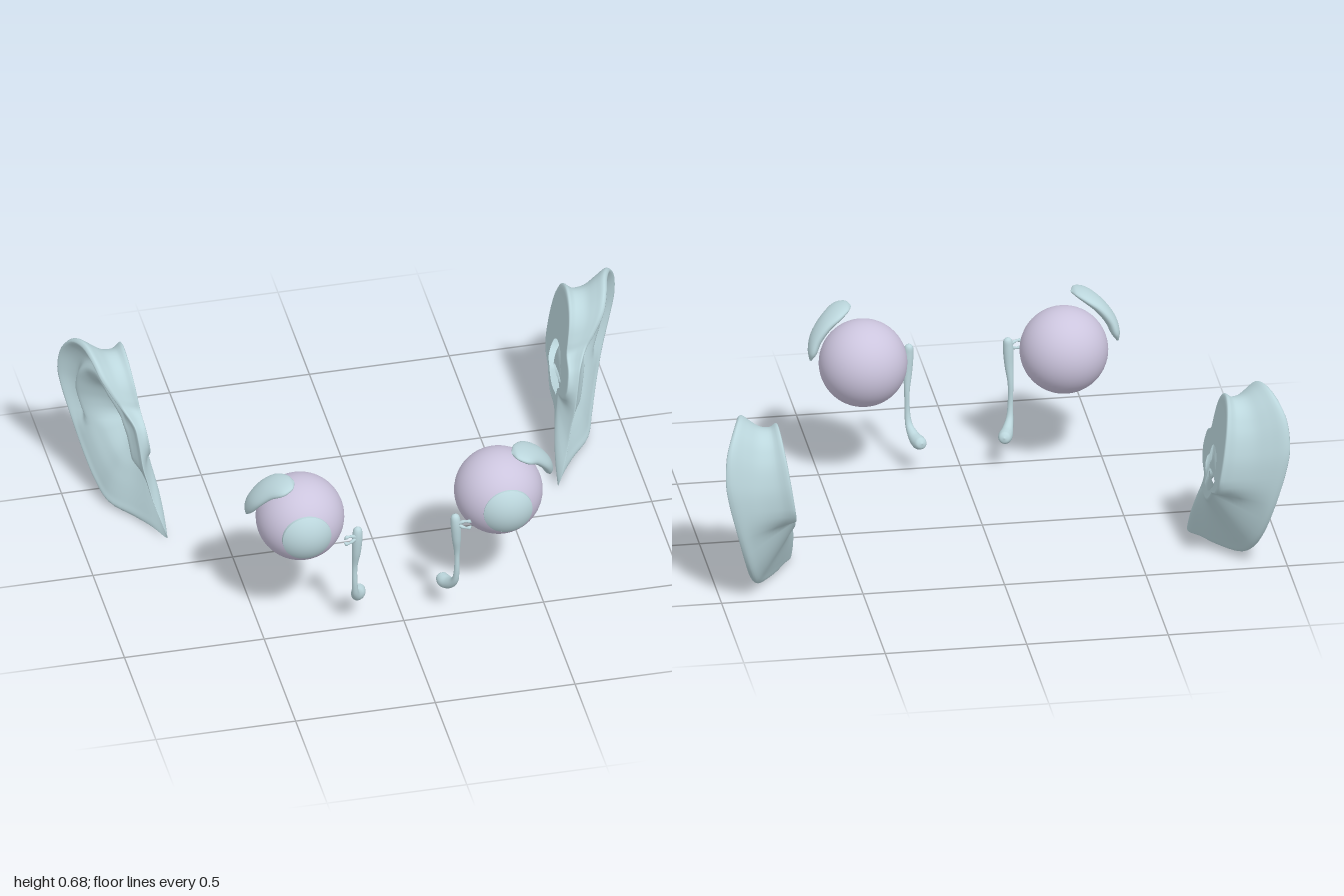
import * as THREE from 'three';

const V = (x, y, z) => new THREE.Vector3(x, y, z);
const { lerp, smoothstep } = THREE.MathUtils;

const tissue = new THREE.MeshStandardMaterial({ color: 0xbcd7dd, side: THREE.DoubleSide });
tissue.name = 'pale teal tissue';
const sclera = new THREE.MeshStandardMaterial({ color: 0xccc5de });
sclera.name = 'pale lilac';

// Smooth skin through a list of rings that all have the same number of points
function loft(rings, steps) {
  const n = rings[0].length, pos = [], idx = [];
  const spokes = rings[0].map((_, j) =>
    new THREE.CatmullRomCurve3(rings.map(r => r[j])).getPoints(steps));
  for (let i = 0; i <= steps; i++)
    for (let j = 0; j < n; j++) pos.push(...spokes[j][i].toArray());
  for (let i = 0; i < steps; i++)
    for (let j = 0; j < n; j++) {
      const a = i * n + j, b = i * n + (j + 1) % n;
      idx.push(a, b, a + n, b, b + n, a + n);
    }
  const g = new THREE.BufferGeometry();
  g.setAttribute('position', new THREE.Float32BufferAttribute(pos, 3));
  g.setIndex(idx);
  g.computeVertexNormals();
  return g;
}

// Round tube whose radius changes along the path; points are [x, y, z, radius]
function taperedTube(pts, sides, steps) {
  const curve = new THREE.CatmullRomCurve3(pts.map(p => V(p[0], p[1], p[2])));
  const rings = pts.map((p, i) => {
    const t = curve.getTangent(i / (pts.length - 1));
    const side = V(1, 0, 0).addScaledVector(t, -t.x).normalize();
    const up = V(0, 0, 0).crossVectors(t, side);
    return Array.from({ length: sides }, (_, j) => {
      const a = j / sides * Math.PI * 2;
      return V(p[0], p[1], p[2])
        .addScaledVector(side, Math.cos(a) * p[3])
        .addScaledVector(up, Math.sin(a) * p[3]);
    });
  });
  return loft(rings, steps);
}

// Outer ear: rings from the ear canal, over the rim, round the back and across the inner face
function earGeometry() {
  const rim = [ // x, y, z
    [.70, .008, -.155], [.71, .045, -.15], [.745, .15, -.185], [.76, .215, -.205],
    [.775, .275, -.21], [.79, .39, -.22], [.80, .445, -.235], [.83, .49, -.285],
    [.86, .54, -.295], [.90, .615, -.317], [.92, .66, -.36], [.94, .68, -.44],
    [.965, .66, -.51], [.99, .60, -.56], [.997, .50, -.587], [.985, .42, -.59],
    [.95, .275, -.57], [.915, .14, -.52], [.89, .065, -.463], [.86, .02, -.387],
    [.79, .012, -.30], [.74, .012, -.225]];
  const outline = new THREE.CatmullRomCurve3(rim.map(p => V(...p)), true).getPoints(88).slice(0, 88);
  const cy = .32, cz = -.395, canalX = .75;
  // scale from canal to rim, sunk depth in the upper part, sunk depth in the lobe, lift at the front
  const face = [[0, 1, 1, 0], [.18, .95, .85, 0], [.38, .72, .5, .025], [.52, .36, .34, .034],
    [.64, .22, .22, .032], [.76, .28, .13, .02], [.87, .17, .06, .008], [.96, 0, 0, 0]];
  // behind the rim: pull-in and travel towards the inner side, first above, then in the lobe
  const back = [[0, .08, 0, .08], [.08, .3, .12, .22], [.18, .55, .3, .42],
    [.19, .8, .5, .66], [.12, .98, .7, .92]];
  // scale of the inner face above and in the lobe
  const inner = [[.76, .24], [.62, .2], [.45, .16], [.3, .12]];

  const angle = p => Math.atan2(p.y - cy, p.z - cz);
  const innerPlane = y => .69 + .155 * y;
  const place = (p, s) => {
    const a = angle(p);
    const hy = cy + .017 * Math.sin(a), hz = cz + .055 * Math.cos(a);
    return V(p.x, lerp(hy, p.y, s), lerp(hz, p.z, s));
  };
  const spokes = outline.map(p => {
    const sin = Math.sin(angle(p)), cos = Math.cos(angle(p));
    return {
      p,
      upper: smoothstep(sin, -.5, .25),
      front: smoothstep(cos, .25, .85) * smoothstep(sin, -.8, -.2),
      crest: smoothstep(sin, .3, .8) * smoothstep(cos, -.2, .4),
      width: Math.min(1, (p.x - innerPlane(p.y)) / .2),
    };
  });

  const rings = face.map(([s, up, low, lift]) => spokes.map(({ p, upper, front }) => {
    const q = place(p, s);
    q.x = lerp(p.x, canalX, lerp(low, up, upper * (1 - .7 * front))) + lift * front;
    return q;
  }));
  back.forEach(([pullUp, up, pullLow, low]) =>
    rings.push(spokes.map(({ p, upper, crest, width }) => {
      const q = place(p, 1 - lerp(pullLow, pullUp * width + .12 * crest * up, upper));
      q.x = lerp(p.x, innerPlane(q.y), lerp(low, up, upper));
      return q;
    })));
  inner.forEach(([up, low]) => rings.push(spokes.map(({ p, upper }) => {
    const q = place(p, lerp(low, up, upper));
    q.x = innerPlane(q.y);
    return q;
  })));
  return loft(rings, 64);
}

// Tear gland: a flattened leaf wrapped over the upper outer side of the eye
function glandGeometry() {
  const sections = [ // angle, z, half width, radius, half thickness
    [80, .485, .006, .197, .003], [76, .485, .042, .2, .011], [65, .474, .066, .199, .019],
    [50, .453, .057, .197, .022], [32, .435, .045, .194, .021], [18, .418, .03, .19, .016],
    [9, .41, .005, .19, .004]];
  return loft(sections.map(([deg, z, w, r, h]) => {
    const a = deg * Math.PI / 180;
    return Array.from({ length: 24 }, (_, j) => {
      const b = j / 24 * Math.PI * 2, rr = r + h * Math.sin(b);
      return V(.355 + rr * Math.cos(a), .46 + rr * Math.sin(a), z + w * Math.cos(b));
    });
  }), 30);
}

function buildSide(name) {
  const side = new THREE.Group();
  side.name = name;
  const add = (part, geometry, material, x = 0, y = 0, z = 0) => {
    const m = new THREE.Mesh(geometry, material);
    m.name = part;
    m.position.set(x, y, z);
    side.add(m);
  };

  add('eyeball', new THREE.SphereGeometry(.155, 48, 32), sclera, .355, .46, .425);
  // Cornea: a shallow dome with a low edge, standing just proud of the eyeball
  const dome = new THREE.SphereGeometry(.13, 48, 12, 0, Math.PI * 2, 0, Math.asin(.087 / .13));
  add('cornea', dome.rotateX(Math.PI / 2), tissue, .36, .46, .464);
  const edge = new THREE.CylinderGeometry(.087, .087, .016, 48, 1, true);
  add('corneaEdge', edge.rotateX(Math.PI / 2), tissue, .36, .46, .5526);
  add('tearGland', glandGeometry(), tissue);

  // Tear sac and duct, ending in a rounded foot
  add('tearDuct', taperedTube([
    [.173, .466, .54, .001], [.174, .458, .541, .013], [.176, .43, .543, .018],
    [.179, .36, .54, .016], [.183, .29, .531, .010], [.182, .21, .53, .010],
    [.178, .165, .519, .013], [.166, .135, .49, .02], [.153, .124, .458, .025],
    [.147, .128, .436, .019], [.145, .131, .427, .001]], 16, 60), tissue);
  // Two short canals from the sac towards the eyelids
  for (const s of [1, -1])
    add('tearCanal', taperedTube([
      [.18, .428, .55, .006], [.2, .428 + s * .012, .558, .006],
      [.22, .428 + s * .014, .563, .007], [.228, .428 + s * .006, .563, .001]], 10, 16), tissue);

  add('ear', earGeometry(), tissue);
  return side;
}

export function createModel() {
  const model = new THREE.Group();
  model.name = 'senseOrgans';
  const left = buildSide('leftSide');
  const right = buildSide('rightSide');
  right.scale.x = -1;
  model.add(left, right);
  return model;
}
